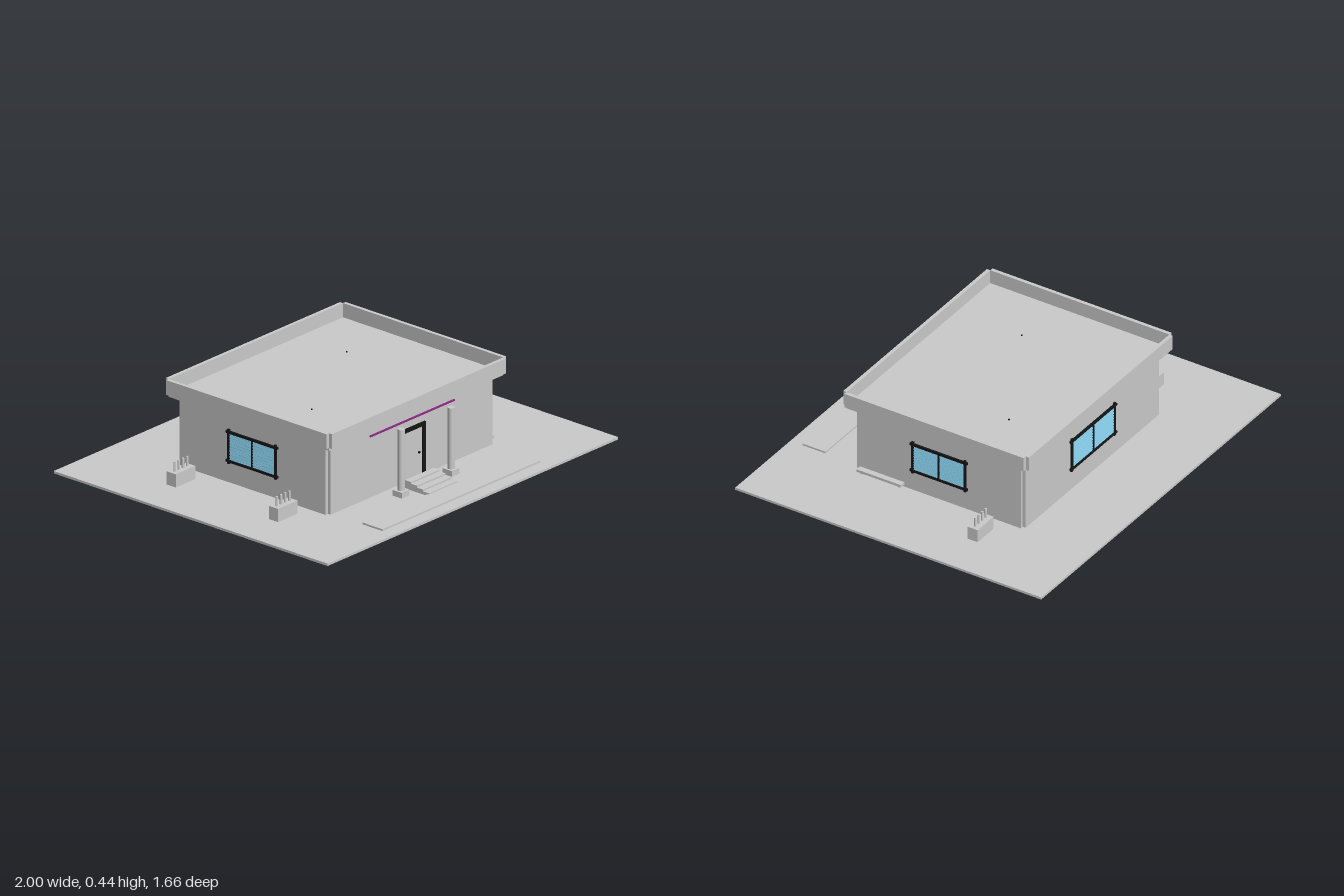
import * as THREE from 'three';

const mat = (color) => new THREE.MeshStandardMaterial({ color });
const grey = mat(0xcccccc);
const black = mat(0x151515);
const blue = mat(0x87ceeb);
const cyan = mat(0x00c8f0);
const purple = mat(0x8e2a86);

// Box given by its minimum and maximum on each axis
function box(parent, name, [x0, x1], [y0, y1], [z0, z1], material = grey) {
  const mesh = new THREE.Mesh(new THREE.BoxGeometry(x1 - x0, y1 - y0, z1 - z0), material);
  mesh.position.set((x0 + x1) / 2, (y0 + y1) / 2, (z0 + z1) / 2);
  mesh.name = name;
  parent.add(mesh);
  return mesh;
}

function cylinder(parent, name, radius, y0, y1, x, z, material = grey, sides = 24) {
  const mesh = new THREE.Mesh(new THREE.CylinderGeometry(radius, radius, y1 - y0, sides), material);
  mesh.position.set(x, (y0 + y1) / 2, z);
  mesh.name = name;
  parent.add(mesh);
  return mesh;
}

// Four panels around a rectangle, leaving small notches at the outer corners
function ring(name, halfX, halfZ, thickness, y0, y1) {
  const group = new THREE.Group();
  group.name = name;
  const ix = halfX - thickness;
  const iz = halfZ - thickness;
  for (const s of [-1, 1]) {
    const side = s > 0 ? [ix, halfX] : [-halfX, -ix];
    const end = s > 0 ? [iz, halfZ] : [-halfZ, -iz];
    box(group, name + 'Side', side, [y0, y1], [-iz, iz]);
    box(group, name + 'End', [-ix, ix], [y0, y1], end);
  }
  return group;
}

// Window facing +z, centred on the origin: glass, blind slats and overshooting frame bars
function createWindow(halfW, halfH) {
  const group = new THREE.Group();
  group.name = 'window';
  const bar = 0.006;
  const over = 0.014;
  box(group, 'glass', [-halfW, halfW], [-halfH, halfH], [-0.004, 0.002], blue);
  const slats = 10;
  const pitch = (2 * halfH) / slats;
  for (let i = 0; i < slats; i++) {
    const y = -halfH + (i + 0.5) * pitch;
    const slat = box(group, 'slat', [-halfW, halfW], [y - 0.0055, y + 0.0055], [0.003, 0.0045], blue);
    slat.rotation.x = -0.25;
  }
  for (const s of [-1, 1]) {
    box(group, 'frameRail', [-halfW - over, halfW + over],
      [s * halfH - bar, s * halfH + bar], [-0.003, 0.010], black);
    box(group, 'frameStile', [s * halfW - bar, s * halfW + bar],
      [-halfH - over, halfH + over], [-0.003, 0.009], black);
  }
  box(group, 'mullion', [-0.004, 0.004], [-halfH, halfH], [-0.003, 0.008], black);
  return group;
}

// Planter with a row of four short posts
function createPlanter(x, z) {
  const group = new THREE.Group();
  group.name = 'planter';
  box(group, 'planterBox', [-0.067, 0.067], [0.01, 0.077], [-0.028, 0.028]);
  for (let i = 0; i < 4; i++) {
    cylinder(group, 'planterPost', 0.006, 0.077, 0.124, (i - 1.5) * 0.029, 0, grey, 16);
  }
  group.position.set(x, 0, z);
  return group;
}

export function createModel() {
  const model = new THREE.Group();
  model.name = 'building';

  // Ground, walls and roof
  box(model, 'ground', [-1, 1], [0, 0.012], [-0.83, 0.83]);
  model.add(ring('wall', 0.573, 0.458, 0.016, 0.012, 0.347));
  box(model, 'roofSlab', [-0.6, 0.6], [0.347, 0.365], [-0.486, 0.486]);
  model.add(ring('parapet', 0.617, 0.504, 0.018, 0.362, 0.435));
  for (const [x, z] of [[0.3, -0.2], [-0.315, 0.13]]) {
    cylinder(model, 'roofVent', 0.004, 0.364, 0.369, x, z, black, 10);
  }

  // Front path and entrance steps
  box(model, 'path', [-0.545, 0.54], [0.01, 0.021], [0.64, 0.763]);
  [0.053, 0.045, 0.036, 0.027].forEach((top, i) => {
    const z = 0.505 + i * 0.036;
    box(model, 'step', [-0.098, 0.098], [0.01, top], [z, z + 0.036]);
  });

  // Columns on square bases
  for (const s of [-1, 1]) {
    const x = s * 0.172;
    box(model, 'columnBase', [x - 0.027, x + 0.027], [0.01, 0.04], [0.519, 0.575]);
    cylinder(model, 'column', 0.017, 0.04, 0.34, x, 0.548);
  }

  // Door with frame and knob
  const door = new THREE.Group();
  door.name = 'door';
  box(door, 'doorLeaf', [-0.068, 0.068], [0.02, 0.258], [0.45, 0.462]);
  for (const s of [-1, 1]) {
    const x = s * 0.078;
    box(door, 'doorJamb', [x - 0.011, x + 0.011], [0.012, 0.275], [0.45, 0.468], black);
  }
  box(door, 'doorHead', [-0.089, 0.089], [0.257, 0.275], [0.45, 0.468], black);
  const knob = new THREE.Mesh(new THREE.SphereGeometry(0.006, 16, 12), black);
  knob.name = 'doorKnob';
  knob.position.set(0.042, 0.137, 0.468);
  door.add(knob);
  model.add(door);

  // Coloured strips above the door
  box(model, 'lowerStrip', [-0.29, 0.29], [0.312, 0.319], [0.456, 0.466], purple);
  box(model, 'upperStrip', [-0.41, 0.41], [0.342, 0.35], [0.456, 0.466], cyan);

  // Windows on both sides and the back
  for (const s of [-1, 1]) {
    const side = createWindow(0.142, 0.071);
    side.position.set(s * 0.573, 0.191, 0);
    side.rotation.y = s * Math.PI / 2;
    model.add(side);
  }
  const back = createWindow(0.178, 0.075);
  back.position.set(0, 0.2, -0.458);
  back.rotation.y = Math.PI;
  model.add(back);

  // Planters, and the low bench by the left wall
  for (const [x, z] of [[-0.713, -0.312], [0.709, -0.312], [-0.713, 0.308]]) {
    model.add(createPlanter(x, z));
  }
  box(model, 'benchSeat', [0.565, 0.603], [0.023, 0.036], [0.19, 0.43]);
  for (const z of [0.21, 0.41]) {
    box(model, 'benchLeg', [0.575, 0.592], [0.01, 0.025], [z - 0.008, z + 0.008]);
  }

  return model;
}
